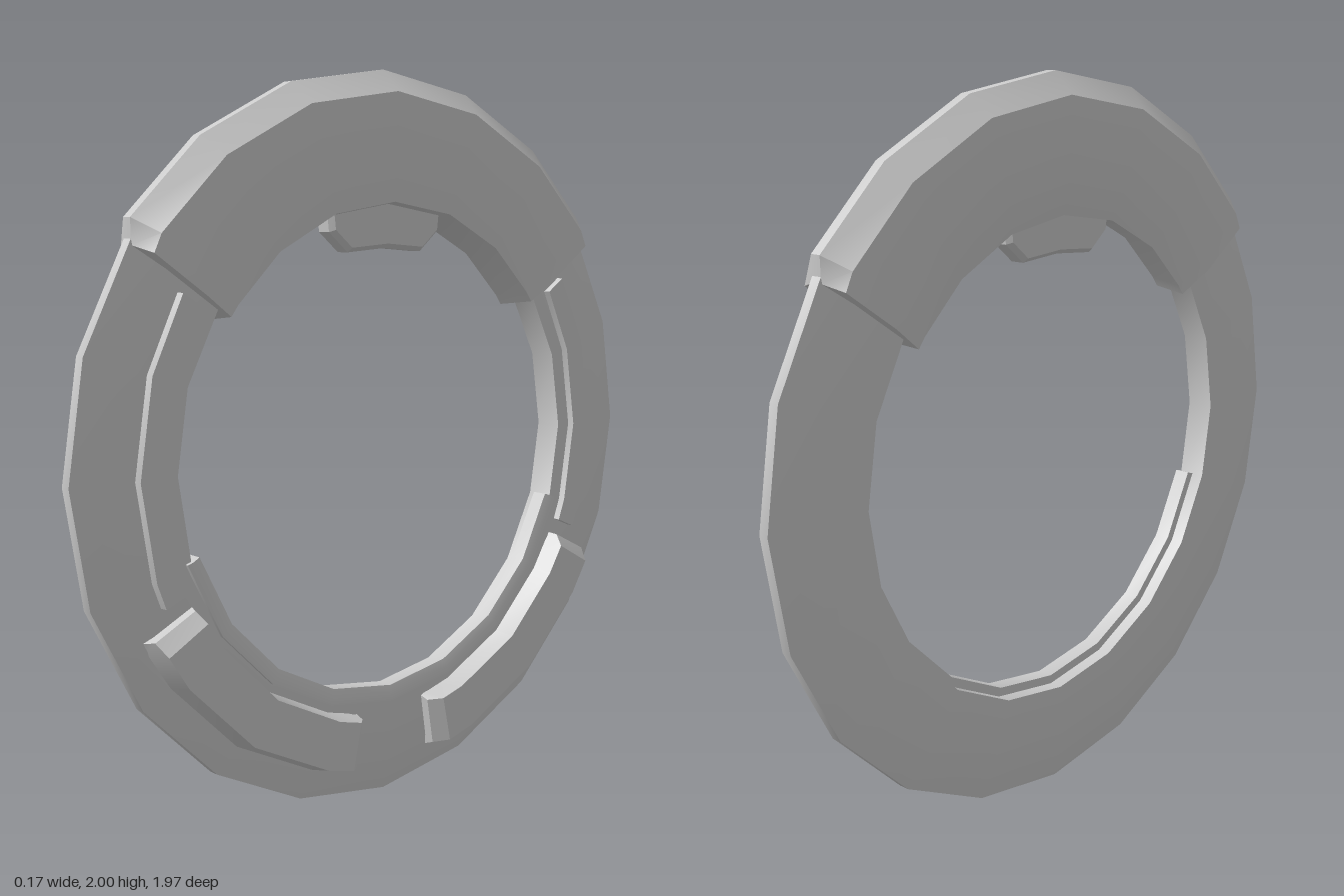
import * as THREE from 'three';
import { toCreasedNormals } from 'three/addons/utils/BufferGeometryUtils.js';

const CY = 0.985; // height of the ring's centre
const material = new THREE.MeshStandardMaterial({ color: 0xcccccc });

// Sweeps a convex (x, radius) section around the x axis.
// Angles in degrees from +z towards +y; section(i) gives the outline, counterclockwise.
function sweep(angles, section, closed = false) {
  const rings = angles.map((deg, s) => {
    const a = THREE.MathUtils.degToRad(deg);
    return section(s).map(([x, r]) => [x, CY + r * Math.sin(a), r * Math.cos(a)]);
  });
  const pos = [];
  const tri = (a, b, c) => pos.push(...a, ...b, ...c);
  const n = rings[0].length, count = rings.length;
  for (let s = 0; s < (closed ? count : count - 1); s++) {
    const p = rings[s], q = rings[(s + 1) % count];
    for (let i = 0; i < n; i++) {
      const j = (i + 1) % n;
      tri(p[i], q[i], p[j]);
      tri(p[j], q[i], q[j]);
    }
  }
  if (!closed) {
    const p = rings[0], q = rings[count - 1];
    for (let i = 1; i < n - 1; i++) {
      tri(p[0], p[i], p[i + 1]);
      tri(q[0], q[i + 1], q[i]);
    }
  }
  const geo = new THREE.BufferGeometry();
  geo.setAttribute('position', new THREE.Float32BufferAttribute(pos, 3));
  return toCreasedNormals(geo, 0.5);
}

export function createModel() {
  const group = new THREE.Group();
  const add = (name, geo) => {
    const mesh = new THREE.Mesh(geo, material);
    mesh.name = name;
    group.add(mesh);
  };

  // Main ring, twenty sides with a tapered rim
  const ring = [[-0.052, 0.7], [0.028, 0.7], [0.024, 0.88], [0, 0.985], [-0.03, 0.985], [-0.052, 0.88]];
  add('ring', sweep(Array.from({ length: 20 }, (_, i) => i * 18), () => ring, true));

  // Thicker cover over the top, pinched slightly at both ends
  const coverAngles = [35, 38, 54, 72, 90, 108, 126, 142, 145];
  add('topCover', sweep(coverAngles, (s) => {
    const end = s === 0 || s === coverAngles.length - 1;
    const rim = end ? 0.975 : 1.015, edge = end ? 0.945 : 0.955;
    return [[-0.06, 0.647], [0.048, 0.667], [0.06, 0.76], [0.06, edge], [0, rim],
      [-0.03, rim], [-0.086, edge], [-0.086, 0.76]];
  }));

  // Block hanging inside the top of the ring
  const block = new THREE.Shape([
    [-0.2, 1.66], [-0.19, 1.575], [-0.13, 1.525], [0, 1.535], [0.13, 1.525], [0.19, 1.575], [0.2, 1.66],
  ].map(([z, y]) => new THREE.Vector2(z, y)));
  const blockGeo = new THREE.ExtrudeGeometry(block, {
    depth: 0.04, bevelEnabled: true, bevelSegments: 1, bevelThickness: 0.015, bevelSize: 0.012, bevelOffset: -0.006,
  });
  blockGeo.rotateY(Math.PI / 2).translate(-0.035, 0, 0);
  add('innerBlock', toCreasedNormals(blockGeo, 0.4));

  // Narrow lip along the inside of the lower half
  const lip = [[-0.015, 0.675], [0.03, 0.675], [0.038, 0.7], [0.038, 0.718], [-0.015, 0.718]];
  add('innerLip', sweep([-162, -144, -126, -108, -90, -72, -54, -36, -18], () => lip));

  // Side strips and lower pads, mirrored front to back
  const strip = [[0, 0.745], [0.046, 0.75], [0.046, 0.818], [0, 0.823]];
  const stripAngles = [-23, -18, 0, 18, 33];
  const padAngles = [-80.5, -78, -72, -54, -36, -29, -26.5];
  const pad = (s) => {
    const top = s === 0 || s === padAngles.length - 1 ? 0.052 : 0.085;
    return [[0, 0.735], [top, 0.752], [top, 0.885], [0, 0.905]];
  };
  const mirror = (angles) => angles.map((a) => 180 - a).reverse();
  for (const [side, flip] of [['front', (a) => a], ['back', mirror]]) {
    add(side + 'Strip', sweep(flip(stripAngles), () => strip));
    add(side + 'LowerPad', sweep(flip(padAngles), pad));
  }
  return group;
}
